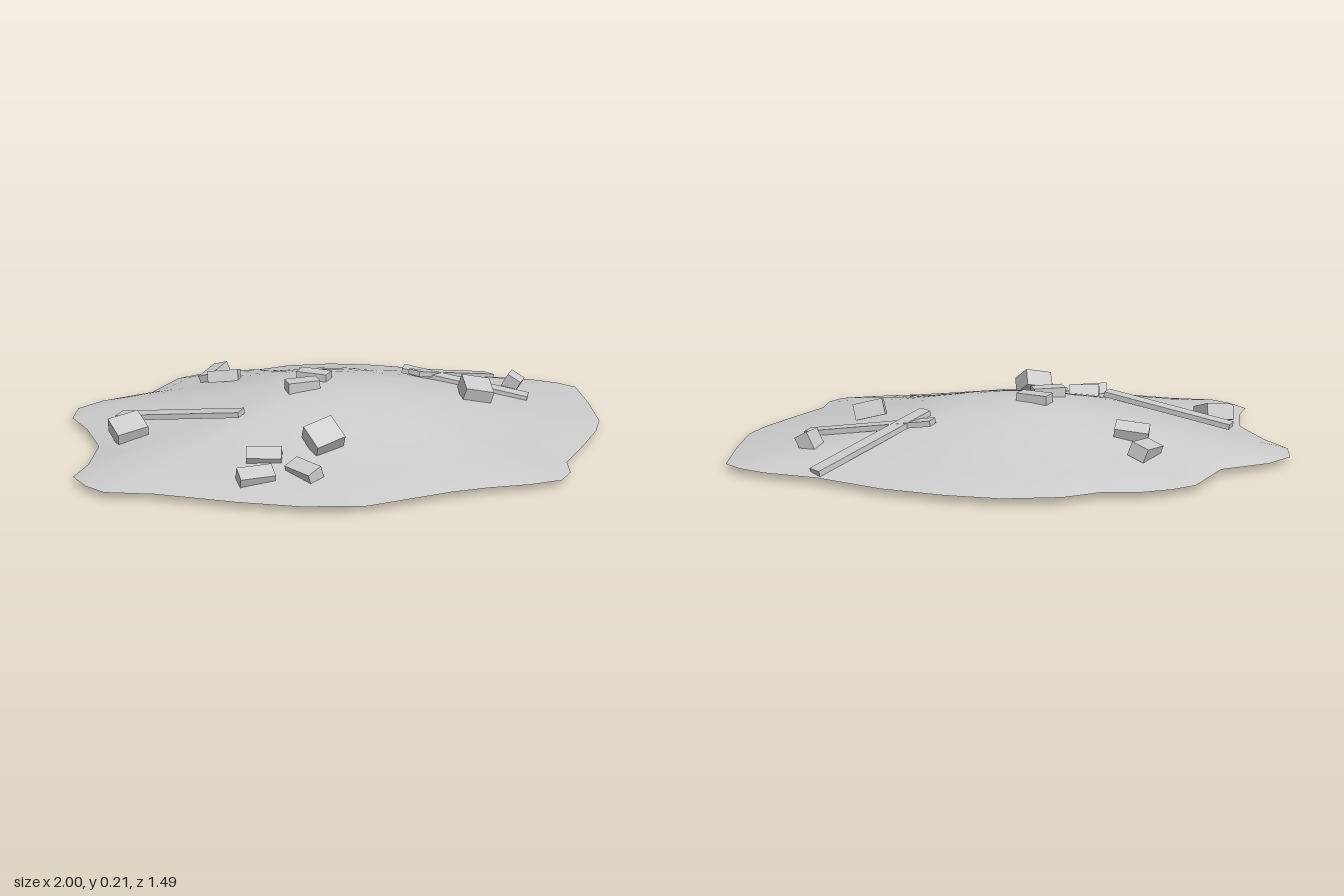
import * as THREE from 'three';

const grey = new THREE.MeshStandardMaterial({ color: 0xcccccc, side: THREE.DoubleSide });

// Irregular ground outline as x, z pairs
const OUTLINE = [
  [-0.04, -0.75], [0.15, -0.735], [0.37, -0.69], [0.61, -0.595], [0.8, -0.56], [0.9, -0.52],
  [0.965, -0.47], [0.99, -0.27], [1, -0.08], [0.97, 0.03], [0.9, 0.18], [0.82, 0.34],
  [0.82, 0.43], [0.78, 0.5], [0.67, 0.54], [0.53, 0.57], [0.4, 0.61], [0.12, 0.73],
  [-0.09, 0.74], [-0.3, 0.71], [-0.58, 0.65], [-0.75, 0.64], [-0.82, 0.59], [-0.88, 0.51],
  [-0.85, 0.4], [-0.845, 0.23], [-0.92, 0.06], [-1, -0.06], [-1, -0.17], [-0.92, -0.26],
  [-0.75, -0.35], [-0.66, -0.54], [-0.58, -0.595], [-0.48, -0.635], [-0.35, -0.65], [-0.23, -0.715],
];

// Height of the heap from its crown (t = 0) to its rim (t = 1)
const HEIGHTS = [0.178, 0.176, 0.168, 0.152, 0.132, 0.111, 0.09, 0.071, 0.054, 0.038, 0.017];
const RINGS = HEIGHTS.length - 1;
const CENTRE = [-0.01, -0.05];

// Open shell of rings that go from a soft ellipse to the ragged rim
function moundGeometry() {
  const n = OUTLINE.length;
  const positions = [CENTRE[0], HEIGHTS[0], CENTRE[1]];
  const index = [];
  for (let r = 1; r <= RINGS; r++) {
    const t = r / RINGS;
    for (const [x, z] of OUTLINE) {
      const dx = x - CENTRE[0], dz = z - CENTRE[1];
      const round = 1 / Math.hypot(dx / 0.97, dz / 0.74);
      const s = t * THREE.MathUtils.lerp(round, 1, t * t);
      positions.push(CENTRE[0] + dx * s, HEIGHTS[r], CENTRE[1] + dz * s);
    }
  }
  for (let i = 0; i < n; i++) {
    const j = (i + 1) % n;
    index.push(0, 1 + j, 1 + i);
    for (let r = 0; r < RINGS - 1; r++) {
      const a = 1 + r * n + i, b = 1 + r * n + j;
      index.push(a, b, a + n, b, b + n, a + n);
    }
  }
  const g = new THREE.BufferGeometry();
  g.setAttribute('position', new THREE.Float32BufferAttribute(positions, 3));
  g.setIndex(index);
  g.computeVertexNormals();
  return g;
}

// Centre, size, then yaw, tilt about x and tilt about z in degrees
const BRICKS = [
  [[-0.08, 0.183, -0.085], [0.12, 0.045, 0.06], [-20, 0, 0]],
  [[-0.12, 0.183, 0.02], [0.12, 0.045, 0.06], [20, 0, 0]],
  [[-0.49, 0.088, -0.385], [0.125, 0.05, 0.065], [63, -18, 8]],
  [[-0.44, 0.12, -0.27], [0.12, 0.045, 0.065], [-5, -18, 6]],
  [[-0.74, 0.075, 0.2], [0.115, 0.06, 0.1], [32, 20, 8]],
  [[-0.03, 0.128, 0.4], [0.11, 0.065, 0.1], [38, 32, 14]],
  [[-0.23, 0.08, 0.465], [0.12, 0.045, 0.055], [0, 30, 0]],
  [[-0.25, 0.058, 0.59], [0.12, 0.045, 0.06], [20, 22, 0]],
  [[-0.09, 0.064, 0.555], [0.12, 0.045, 0.06], [-45, 18, 0]],
  [[0.53, 0.13, -0.1], [0.11, 0.06, 0.1], [8, 15, -12]],
  [[0.685, 0.055, -0.355], [0.06, 0.11, 0.065], [-20, 0, -28]],
];

// Two end points along each plank's middle
const PLANKS = [
  [[-0.8, 0.068, 0.045], [-0.33, 0.142, 0.205]],
  [[0.26, 0.145, -0.305], [0.74, 0.066, -0.205]],
  [[0.3, 0.158, -0.215], [0.62, 0.03, -0.575]],
];

function addBrick(parent, [centre, size, turn]) {
  const brick = new THREE.Mesh(new THREE.BoxGeometry(...size), grey);
  const [yaw, tiltX, tiltZ] = turn.map(THREE.MathUtils.degToRad);
  brick.position.set(...centre);
  brick.rotation.set(tiltX, yaw, tiltZ, 'YXZ');
  brick.name = 'brick';
  parent.add(brick);
}

function addPlank(parent, [from, to]) {
  const a = new THREE.Vector3(...from), b = new THREE.Vector3(...to);
  const plank = new THREE.Mesh(new THREE.BoxGeometry(0.055, 0.02, a.distanceTo(b)), grey);
  plank.position.copy(a).lerp(b, 0.5);
  plank.lookAt(b);
  plank.name = 'plank';
  parent.add(plank);
}

export function createModel() {
  const model = new THREE.Group();
  model.name = 'rubbleHeap';

  const mound = new THREE.Mesh(moundGeometry(), grey);
  mound.name = 'mound';

  const bricks = new THREE.Group();
  bricks.name = 'bricks';
  BRICKS.forEach((b) => addBrick(bricks, b));

  const planks = new THREE.Group();
  planks.name = 'planks';
  PLANKS.forEach((p) => addPlank(planks, p));

  model.add(mound, bricks, planks);
  return model;
}
